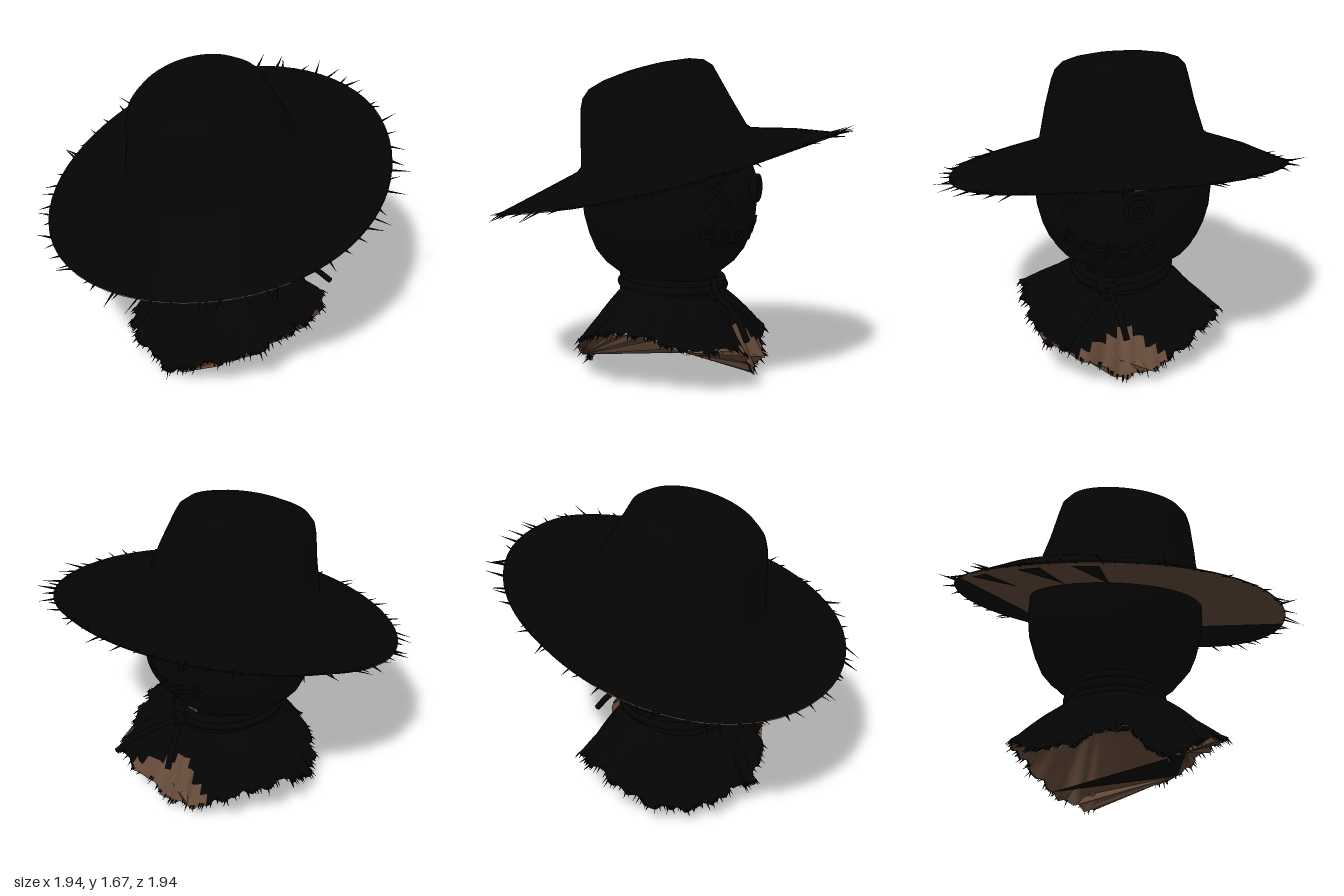
import * as THREE from 'three';
import { mergeGeometries } from 'three/addons/utils/BufferGeometryUtils.js';

const V = (x, y, z) => new THREE.Vector3(x, y, z);
const TAU = Math.PI * 2;
const tiltY = (x, z) => 0.253 * x - 0.107 * z; // slant of the hat

// Skin closed rings of points, bottom to top (or rim to centre); keep() picks the faces
function loft(rows, cols, point, keep = () => true) {
  const pos = [], idx = [];
  for (let i = 0; i < rows; i++) for (let j = 0; j < cols; j++) pos.push(...point(i, j / cols).toArray());
  for (let i = 0; i < rows - 1; i++) for (let j = 0; j < cols; j++) {
    const a = i * cols + j, b = i * cols + (j + 1) % cols, c = a + cols, d = b + cols;
    if (keep(i, j * 360 / cols)) idx.push(a, c, b, b, c, d);
  }
  const g = new THREE.BufferGeometry();
  g.setAttribute('position', new THREE.Float32BufferAttribute(pos, 3));
  g.setIndex(idx);
  g.computeVertexNormals();
  return g;
}

// Sheet made of a fan of triangles from the first point
function fan(points) {
  const g = new THREE.BufferGeometry().setFromPoints(points), idx = [];
  for (let i = 1; i < points.length - 1; i++) idx.push(0, i, i + 1);
  g.setIndex(idx);
  const flat = g.toNonIndexed();
  flat.computeVertexNormals();
  return flat;
}

function spike(from, dir, len, r) {
  const g = new THREE.ConeGeometry(r, len, 4).translate(0, len / 2, 0);
  g.applyQuaternion(new THREE.Quaternion().setFromUnitVectors(V(0, 1, 0), dir.clone().normalize()));
  return g.translate(from.x, from.y, from.z);
}

const tube = (pts, r, seg = 16) => new THREE.TubeGeometry(new THREE.CatmullRomCurve3(pts), seg, r, 6);

// Piecewise-linear lookup in [key, value] pairs
function lerpTable(table, k) {
  for (let i = 1; i < table.length; i++) if (k <= table[i][0]) {
    const [a, b] = [table[i - 1], table[i]];
    return THREE.MathUtils.mapLinear(k, a[0], b[0], a[1], b[1]);
  }
  return table[table.length - 1][1];
}

export function createModel() {
  const model = new THREE.Group();
  let seed = 7;
  const rnd = () => (seed = (seed * 16807) % 2147483647) / 2147483647;

  const black = new THREE.MeshStandardMaterial({ color: 0x040404, side: THREE.DoubleSide });
  black.name = 'black cloth';
  const brown = new THREE.MeshStandardMaterial({ color: 0x664b3a, side: THREE.DoubleSide });
  brown.name = 'brown lining';
  const add = (name, geo, mat = black) => {
    const m = new THREE.Mesh(geo, mat);
    m.name = name;
    model.add(m);
    return m;
  };

  // Hat rings: centre x, centre z, radius x, radius z, height before slant, twist
  const hat = [
    [-0.01, -0.015, 0.9, 0.885, 1.082, -0.09], [-0.03, -0.02, 0.68, 0.66, 1.165, -0.04],
    [-0.05, -0.02, 0.47, 0.45, 1.228, 0], [-0.052, -0.02, 0.447, 0.428, 1.25, 0],
    [-0.09, 0, 0.405, 0.39, 1.41, 0], [-0.13, 0.01, 0.367, 0.355, 1.56, 0],
    [-0.14, 0.01, 0.35, 0.338, 1.61, 0], [-0.15, 0.01, 0.31, 0.3, 1.65, 0],
    [-0.15, 0.01, 0.24, 0.23, 1.674, 0], [-0.15, 0.01, 0.12, 0.12, 1.69, 0], [-0.15, 0.01, 0.001, 0.001, 1.694, 0],
  ];
  const hatPoint = (i, t) => {
    const [cx, cz, rx, rz, y, twist] = hat[i], a = t * TAU;
    const x = cx + rx * Math.cos(a), z = cz + rz * Math.sin(a);
    return V(x, y + tiltY(x, z) + (x > 0 && z < 0 ? 0 : twist * x * z), z);
  };
  add('hat', loft(hat.length, 64, hatPoint));

  // Underside of the brim: brown sheet with two dark outer pieces
  const under = (deg, drop = 0.006) => hatPoint(0, deg / 360).sub(V(0, drop, 0));
  const arc = (from, to) => Array.from({ length: 25 }, (_, i) => under(from + (to - from) * i / 24));
  const tip = under(-20);
  add('brimUndersideBrown', fan([tip, ...arc(90, 250)]), brown);
  add('brimUndersideDarkFront', fan(arc(-20, 90)));
  add('brimUndersideDarkBack', fan(arc(-110, -20)));
  // dark streaks lie just below the brown sheet, pointing inwards
  for (const d of [188, 208, 232]) {
    const inwards = (deg, k) => under(deg, 0.012).lerp(V(tip.x, tip.y - 0.006, tip.z), k);
    add('brimStreak', fan([inwards(d, 0.03), inwards(d + 9, 0.03), inwards(d - 9, 0.25)]));
  }

  // Loose straw along the brim edge
  const straw = [];
  for (let i = 0; i < 64; i++) {
    const t = (i + rnd() * 0.9) / 64, p = hatPoint(0, t), a = t * TAU + (rnd() - 0.5) * 0.9;
    const from = p.clone().multiply(V(0.985, 1, 0.985));
    straw.push(spike(from, V(Math.cos(a), tiltY(Math.cos(a), Math.sin(a)) + (rnd() - 0.6) * 0.6, Math.sin(a)),
      0.04 + rnd() * 0.08, 0.005 + rnd() * 0.003));
  }
  add('brimStraw', mergeGeometries(straw));

  // Sack head, gathered towards the neck
  const headProfile = [[0.46, 0.2], [0.53, 0.21], [0.57, 0.265], [0.63, 0.34], [0.7, 0.395], [0.78, 0.43],
    [0.88, 0.457], [0.98, 0.465], [1.08, 0.46], [1.17, 0.43], [1.25, 0.35]];
  const HX = -0.02, HZ = -0.035;
  add('head', loft(headProfile.length, 72, (i, t) => {
    const [y, r] = headProfile[i], a = t * TAU;
    const k = r * (1 + 0.025 * Math.max(0, 0.85 - y) / 0.4 * Math.sin(a * 18));
    return V(HX + k * Math.cos(a), y, HZ + k * Math.sin(a));
  }));

  // Face details follow the head surface on the +x side
  const face = (z, y, out = 0) => {
    const r = lerpTable(headProfile, y);
    return V(HX + Math.sqrt(Math.max(0, r * r - (z - HZ) ** 2)) + out, y, z);
  };
  const stitch = (name, pts, r) => add(name, tube(pts.map(([z, y]) => face(z, y, 0.004)), r, 14));
  stitch('crossEye', [[0.18, 1.11], [0.11, 1.04], [0.03, 0.97]], 0.011);
  stitch('crossEye', [[0.17, 0.97], [0.11, 1.04], [0.04, 1.12]], 0.011);
  const button = new THREE.Group();
  button.name = 'buttonEye';
  const disc = new THREE.Mesh(new THREE.CylinderGeometry(0.068, 0.072, 0.025, 28), black);
  const rim = new THREE.Mesh(new THREE.TorusGeometry(0.064, 0.012, 8, 28), black);
  disc.rotation.z = rim.rotation.y = Math.PI / 2;
  rim.position.x = 0.014;
  const thread = new THREE.Mesh(new THREE.TorusGeometry(0.02, 0.008, 6, 12), black);
  thread.rotation.y = Math.PI / 2;
  thread.position.x = 0.014;
  button.add(disc, rim, thread);
  button.position.copy(face(-0.22, 1.035, 0.005));
  button.rotation.y = 0.42;
  model.add(button);

  const mouth = [[0.18, 0.83], [0.1, 0.81], [0, 0.785], [-0.1, 0.775], [-0.2, 0.79], [-0.31, 0.85]];
  stitch('mouthSeam', mouth, 0.012);
  for (let i = 0; i < 9; i++) {
    const z = 0.16 - i * 0.055;
    const y = lerpTable(mouth.map(([mz, my]) => [-mz, my]), -z), lean = i % 2 ? 0.015 : -0.012;
    stitch('mouthStitch', [[z + lean, y + 0.045], [z, y], [z - lean, y - 0.045]], 0.009);
  }

  // Ragged collar; hem as [degrees, radius, height]
  const hem = [[0, 0.53, 0.18], [15, 0.6, 0.27], [30, 0.55, 0.24], [45, 0.52, 0.27], [60, 0.52, 0.32],
    [75, 0.53, 0.335], [90, 0.55, 0.315], [120, 0.5, 0.22], [138, 0.47, 0.12], [150, 0.45, 0.05], [165, 0.46, 0.1],
    [180, 0.5, 0.19], [210, 0.48, 0.11], [240, 0.5, 0.14], [270, 0.55, 0.3], [300, 0.52, 0.23], [318, 0.5, 0.13],
    [332, 0.48, 0.09], [345, 0.46, 0.06], [360, 0.53, 0.18]];
  const hemRadius = hem.map(h => [h[0], h[1]]), hemHeight = hem.map(h => [h[0], h[2]]);
  const collarPoint = (k, t, scale = 1) => { // k: 0 hem, 1 neck
    const turn = ((t % 1) + 1) % 1, a = turn * TAU, s = 1 - k;
    const r = scale * (THREE.MathUtils.lerp(0.25, lerpTable(hemRadius, turn * 360), Math.pow(s, 0.95))
      + 0.014 * s * Math.sin(a * 17) + 0.01 * s * Math.sin(a * 29));
    const y = THREE.MathUtils.lerp(0.49, lerpTable(hemHeight, turn * 360), Math.pow(s, 1.25))
      + (k === 0 ? 0.012 * Math.sin(a * 41) : 0);
    return V(r * Math.cos(a), y, -0.02 + r * Math.sin(a));
  };
  // a brown turned-up flap sits at the hem below the face
  const isFlap = (i, deg) => i < 4 * (1 - Math.abs((deg + 180) % 360 - 160) / 27);
  const skirt = (i, t) => collarPoint(i / 8, t);
  add('collar', loft(9, 144, skirt, (i, d) => !isFlap(i, d)));
  add('collarFlap', loft(9, 144, skirt, isFlap), brown);
  add('collarLining', loft(9, 144, (i, t) => collarPoint(i / 8, t, 0.98)), brown);

  // Folded cloth closing the front of the collar from below
  const hemAt = deg => collarPoint(0, deg / 360);
  const hemArc = (from, to) => Array.from({ length: 29 }, (_, i) => hemAt(from + (to - from) * i / 28));
  add('collarDarkFold', fan([40, 318, 138].map(hemAt)));
  add('collarFoldFace', fan([hemAt(40), ...hemArc(-42, 39)]), brown);
  add('collarFoldFront', fan([hemAt(138), ...hemArc(40, 137)]), brown);

  // Frayed threads on the hem
  const fray = [];
  for (let i = 0; i < 150; i++) {
    const t = (i + rnd()) / 150, a = t * TAU + (rnd() - 0.5);
    fray.push(spike(collarPoint(0.03, t), V(Math.cos(a) * 0.8, -0.4 - rnd() * 0.6, Math.sin(a) * 0.8),
      0.025 + rnd() * 0.03, 0.006));
  }
  add('collarFray', mergeGeometries(fray));

  // Neck cord with knot and loose ends
  [0.545, 0.51, 0.475].forEach((y, i) => {
    const ring = add('neckCord', new THREE.TorusGeometry(0.265 + (i % 2) * 0.012, 0.024, 10, 48));
    ring.rotation.x = Math.PI / 2;
    ring.rotation.y = (i - 1) * 0.03;
    ring.scale.set(1.05, 0.9, 1);
    ring.position.set(0, y, -0.035);
  });
  const knot = add('cordKnot', new THREE.TorusKnotGeometry(0.032, 0.018, 48, 8, 2, 3));
  knot.rotation.y = Math.PI / 2;
  knot.position.set(0.31, 0.51, -0.04);
  add('cordEnd', tube([V(0.3, 0.49, -0.03), V(0.42, 0.45, 0.01), V(0.54, 0.39, 0.06), V(0.625, 0.31, 0.1)], 0.017));
  add('cordEnd', tube([V(0.3, 0.49, -0.05), V(0.36, 0.45, -0.09), V(0.42, 0.39, -0.14), V(0.47, 0.31, -0.18)], 0.017));

  return model;
}
